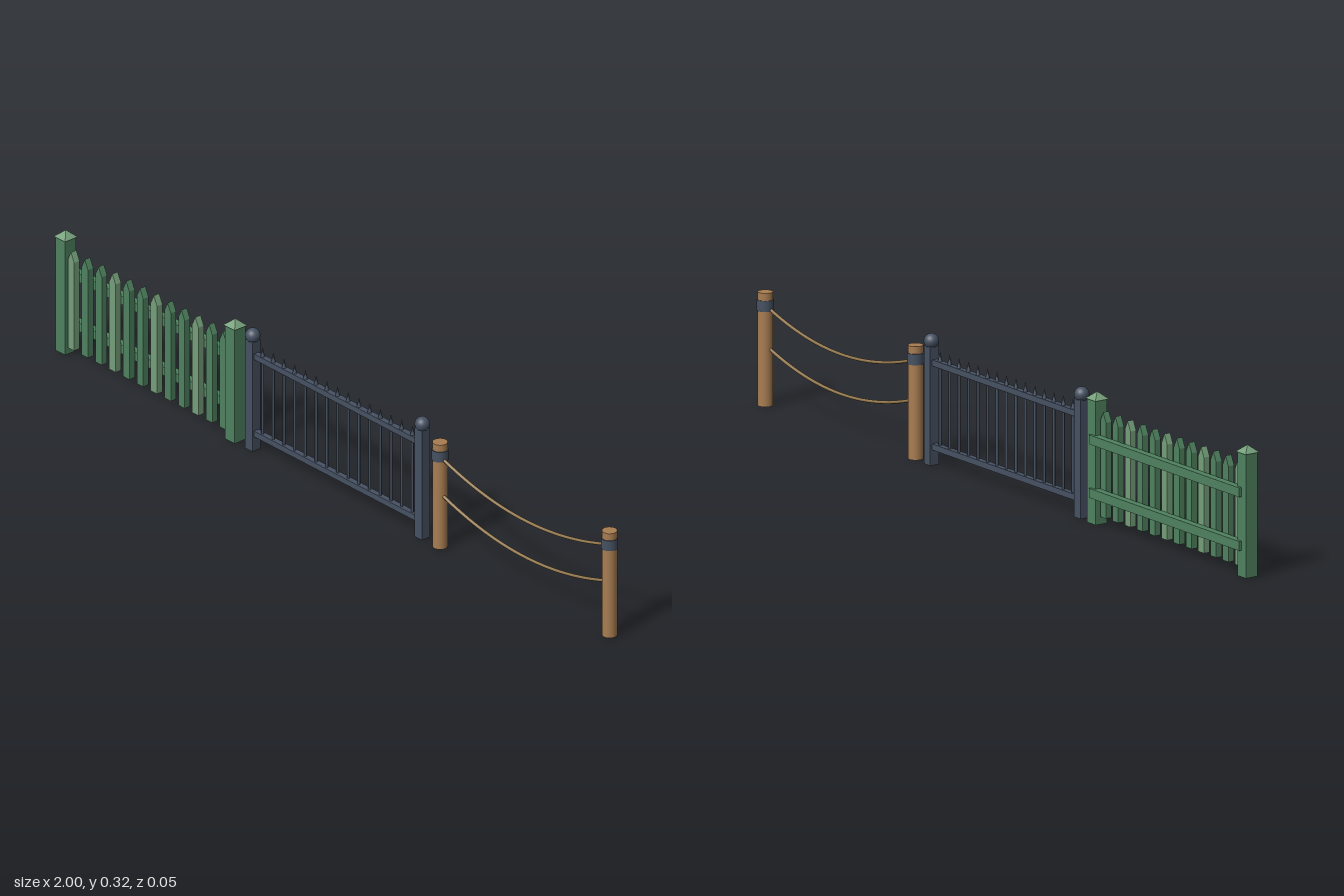
import * as THREE from 'three';

const mat = (color) => new THREE.MeshStandardMaterial({ color });
const GREEN = mat(0x4f8260), LIGHT_GREEN = mat(0x759f7a), IRON = mat(0x465162);
const WOOD = mat(0xa87d52), ROPE = mat(0x94794f);
const Z = 0.002; // shared centre line of the posts
const SPAN = 0.61; // distance between the posts of one panel

function add(group, name, geometry, material, x, y, z = Z) {
  const mesh = new THREE.Mesh(geometry, material);
  mesh.name = name;
  mesh.position.set(x, y, z);
  group.add(mesh);
}

function panel(name, x) {
  const g = new THREE.Group();
  g.name = name;
  g.position.x = x;
  return g;
}

// Painted wooden panel: square posts, pointed pickets, rails behind
function picketFence() {
  const g = panel('picketFence', -0.675);
  const cap = new THREE.ConeGeometry(0.0203 * Math.SQRT2, 0.018, 4).rotateY(Math.PI / 4).toNonIndexed();
  cap.computeVertexNormals();
  for (const s of [-1, 1]) {
    const x = s * SPAN / 2;
    add(g, 'picketPost', new THREE.BoxGeometry(0.034, 0.306, 0.034), GREEN, x, 0.153);
    add(g, 'picketPostCap', cap, LIGHT_GREEN, x, 0.315);
  }
  for (const y of [0.077, 0.209]) {
    add(g, 'picketRail', new THREE.BoxGeometry(SPAN, 0.023, 0.019), GREEN, 0, y, -0.013);
  }
  const w = 0.0115;
  const outline = new THREE.Shape([[-w, 0.02], [w, 0.02], [w, 0.256], [0, 0.28], [-w, 0.256]]
    .map(([x, y]) => new THREE.Vector2(x, y)));
  const picket = new THREE.ExtrudeGeometry(outline, { depth: 0.017, bevelEnabled: false });
  for (let i = 0; i < 12; i++) {
    add(g, 'picket', picket, i % 3 ? GREEN : LIGHT_GREEN, (i - 5.5) * 0.0497, 0, -0.0035);
  }
  return g;
}

// Metal panel: ball-topped posts, two rails, spiked bars
function ironRailing() {
  const g = panel('ironRailing', -0.002);
  for (const s of [-1, 1]) {
    const x = s * SPAN / 2;
    add(g, 'ironPost', new THREE.BoxGeometry(0.026, 0.293, 0.026), IRON, x, 0.1465);
    add(g, 'ironPostBall', new THREE.SphereGeometry(0.0185, 20, 14), IRON, x, 0.3035);
  }
  for (const y of [0.046, 0.253]) {
    add(g, 'ironRail', new THREE.BoxGeometry(SPAN, 0.015, 0.015), IRON, 0, y);
  }
  const bar = new THREE.CylinderGeometry(0.0035, 0.0035, 0.215, 8);
  const spike = new THREE.ConeGeometry(0.006, 0.027, 8);
  for (let i = -7; i <= 7; i++) {
    add(g, 'ironBar', bar, IRON, i * 0.0385, 0.1535);
    add(g, 'ironSpike', spike, IRON, i * 0.0385, 0.272);
  }
  return g;
}

// Rope barrier: round timber posts with metal bands and sagging ropes
function ropeBarrier() {
  const g = panel('ropeBarrier', 0.672);
  const post = new THREE.CylinderGeometry(0.0185, 0.0185, 0.28, 20);
  const band = new THREE.CylinderGeometry(0.0207, 0.0207, 0.027, 20);
  for (const s of [-1, 1]) {
    const x = s * SPAN / 2;
    add(g, 'timberPost', post, WOOD, x, 0.14);
    add(g, 'postBand', band, IRON, x, 0.248);
  }
  for (const y of [0.244, 0.146]) {
    const points = [];
    for (let i = 0; i <= 16; i++) {
      const t = i / 8 - 1;
      points.push(new THREE.Vector3(t * SPAN / 2, y - 0.054 * (1 - t * t), 0));
    }
    const curve = new THREE.CatmullRomCurve3(points);
    add(g, 'rope', new THREE.TubeGeometry(curve, 40, 0.004, 8), ROPE, 0, 0, Z + 0.003);
  }
  return g;
}

export function createModel() {
  const model = new THREE.Group();
  model.name = 'fenceSet';
  model.add(picketFence(), ironRailing(), ropeBarrier());
  return model;
}
